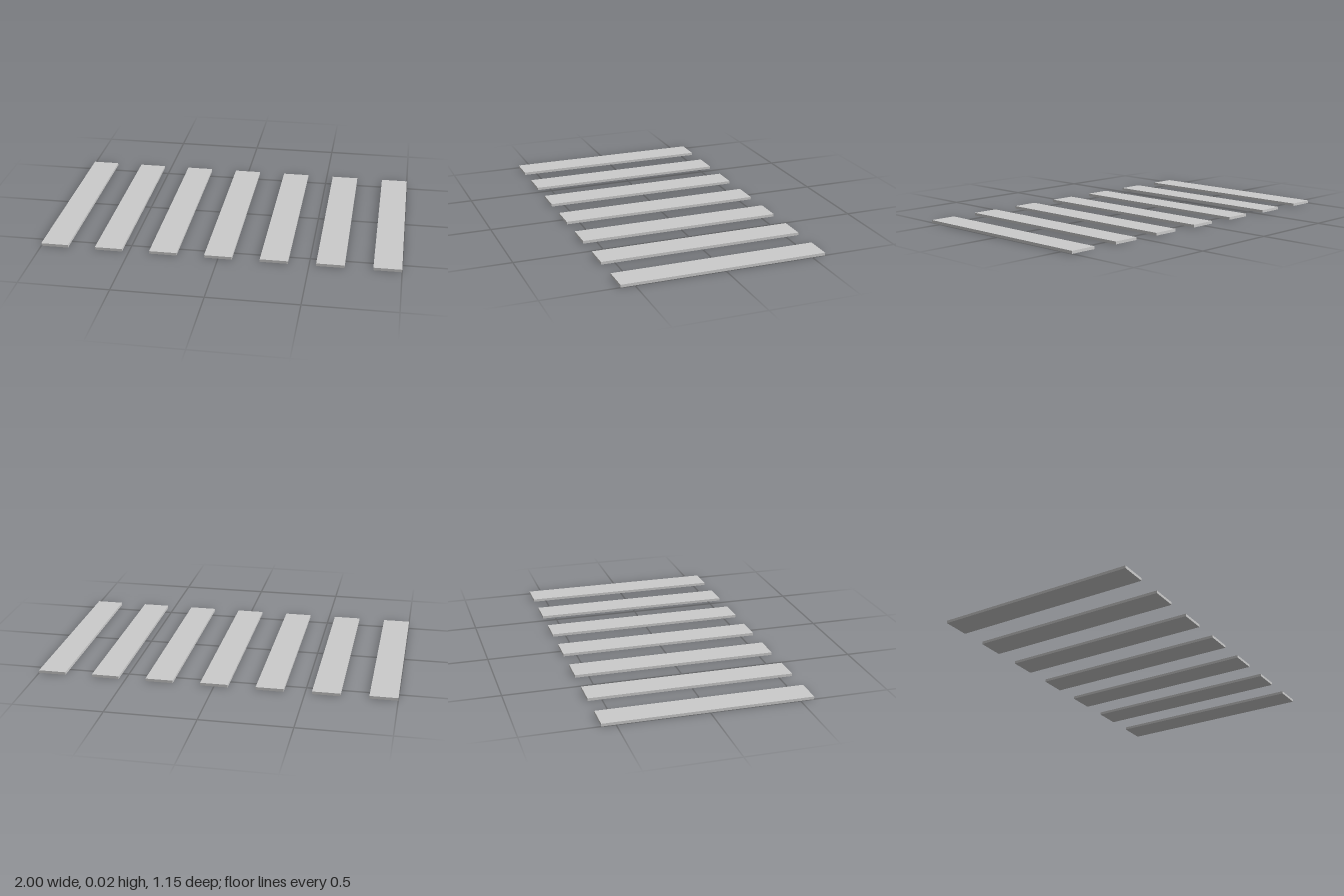
import * as THREE from 'three';

const COUNT = 7;
const WIDTH = 2 / 13; // seven stripes and six equal gaps span 2 units
const LENGTH = WIDTH * 7.5;
const HEIGHT = WIDTH / 10;

export function createModel() {
  const model = new THREE.Group();
  model.name = 'crosswalk';

  const material = new THREE.MeshStandardMaterial({ color: 0xcccccc });
  const geometry = new THREE.BoxGeometry(WIDTH, HEIGHT, LENGTH);

  // Row of parallel flat stripes
  for (let i = 0; i < COUNT; i++) {
    const stripe = new THREE.Mesh(geometry, material);
    stripe.name = `stripe${i + 1}`;
    stripe.position.set((i - (COUNT - 1) / 2) * WIDTH * 2, HEIGHT / 2, 0);
    model.add(stripe);
  }
  return model;
}
